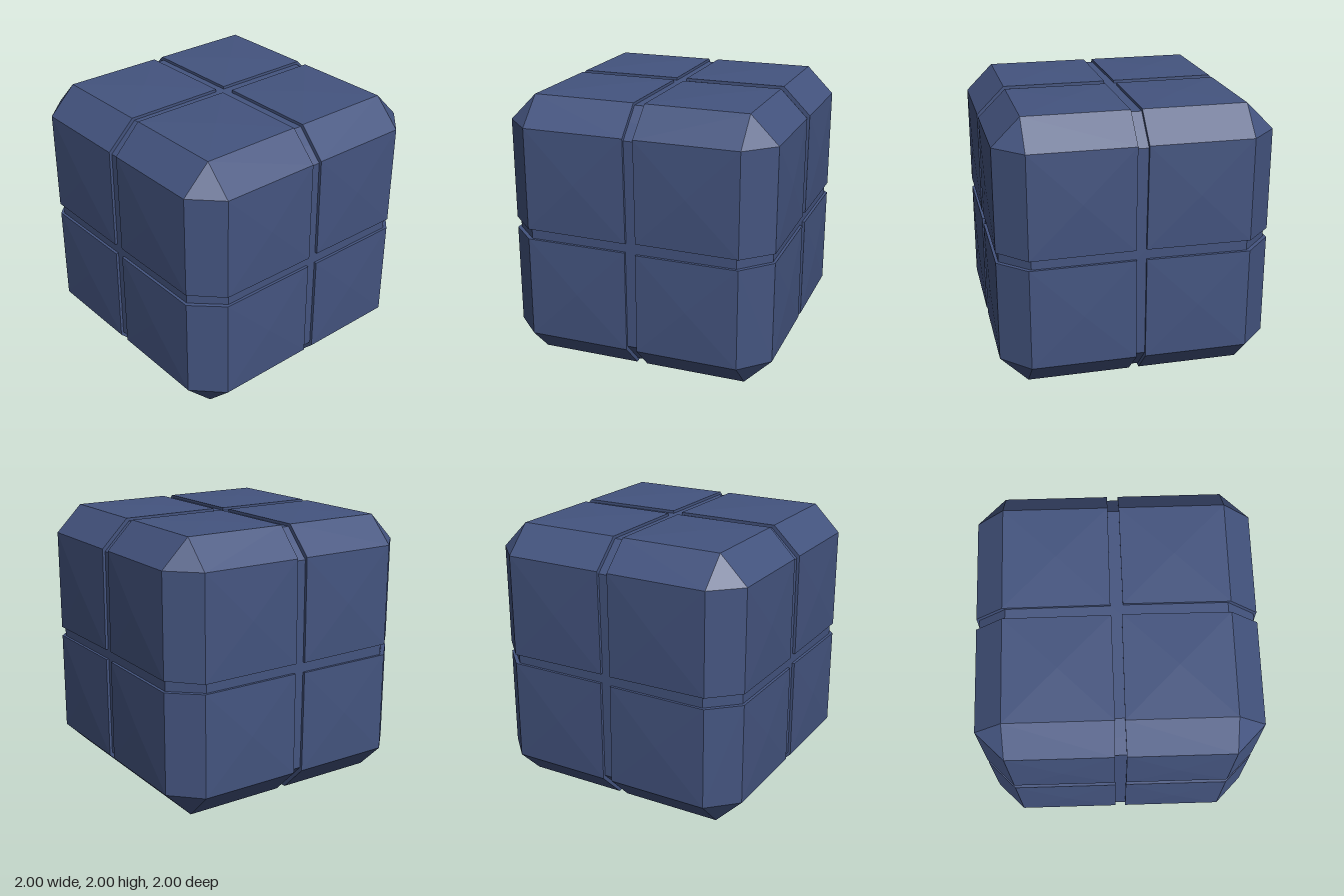
import * as THREE from 'three';
import { ConvexGeometry } from 'three/addons/geometries/ConvexGeometry.js';

const FACE = 0.987;   // height of a block's outer face at its rim
const BULGE = 0.999;  // height at the middle of that face
const BEVEL = 0.787;  // where the bevel starts
const GAP = 0.038;    // half the groove width

// The three arrangements that put the first coordinate on x, y or z
const turns = (a, b, c) => [[a, b, c], [c, a, b], [b, c, a]];

// Small seeded generator for the rough cut of the grooves
function seeded(seed) {
  return () => {
    seed = (seed * 16807) % 2147483647;
    return seed / 2147483647 - 0.5;
  };
}

// One bevelled, slightly domed block filling the octant given by the signs
function makeBlock(signs, random, material) {
  const mid = (GAP + BEVEL) / 2;
  const corners = [
    [GAP, GAP, GAP],
    ...turns(FACE, GAP, GAP),
    ...turns(FACE, BEVEL, GAP),
    ...turns(FACE, GAP, BEVEL),
    ...turns(FACE, BEVEL, BEVEL),
    ...turns(BULGE, mid, mid),
  ];
  const points = corners.map((p) => new THREE.Vector3(
    ...p.map((v, i) => signs[i] * (v === GAP ? v + random() * 0.012 : v))));
  return new THREE.Mesh(new ConvexGeometry(points), material);
}

// Bevelled cube that shows at the bottom of the grooves
function makeCore(material) {
  const points = [];
  for (const x of [-1, 1]) for (const y of [-1, 1]) for (const z of [-1, 1]) {
    for (const p of turns(0.967, 0.768, 0.768)) {
      points.push(new THREE.Vector3(p[0] * x, p[1] * y, p[2] * z));
    }
  }
  return new THREE.Mesh(new ConvexGeometry(points), material);
}

export function createModel() {
  const model = new THREE.Group();
  model.name = 'groovedCube';
  const blue = new THREE.MeshStandardMaterial({ color: 0x44547f });
  blue.name = 'slateBlue';

  const core = makeCore(blue);
  core.name = 'core';
  core.position.y = 1;
  model.add(core);

  // Eight blocks, one in each octant
  const random = seeded(41);
  for (const y of [1, -1]) for (const z of [1, -1]) for (const x of [1, -1]) {
    const block = makeBlock([x, y, z], random, blue);
    block.name = `${y > 0 ? 'upper' : 'lower'}${z > 0 ? 'Front' : 'Back'}${x > 0 ? 'Left' : 'Right'}Block`;
    block.position.y = 1;
    model.add(block);
  }
  return model;
}
